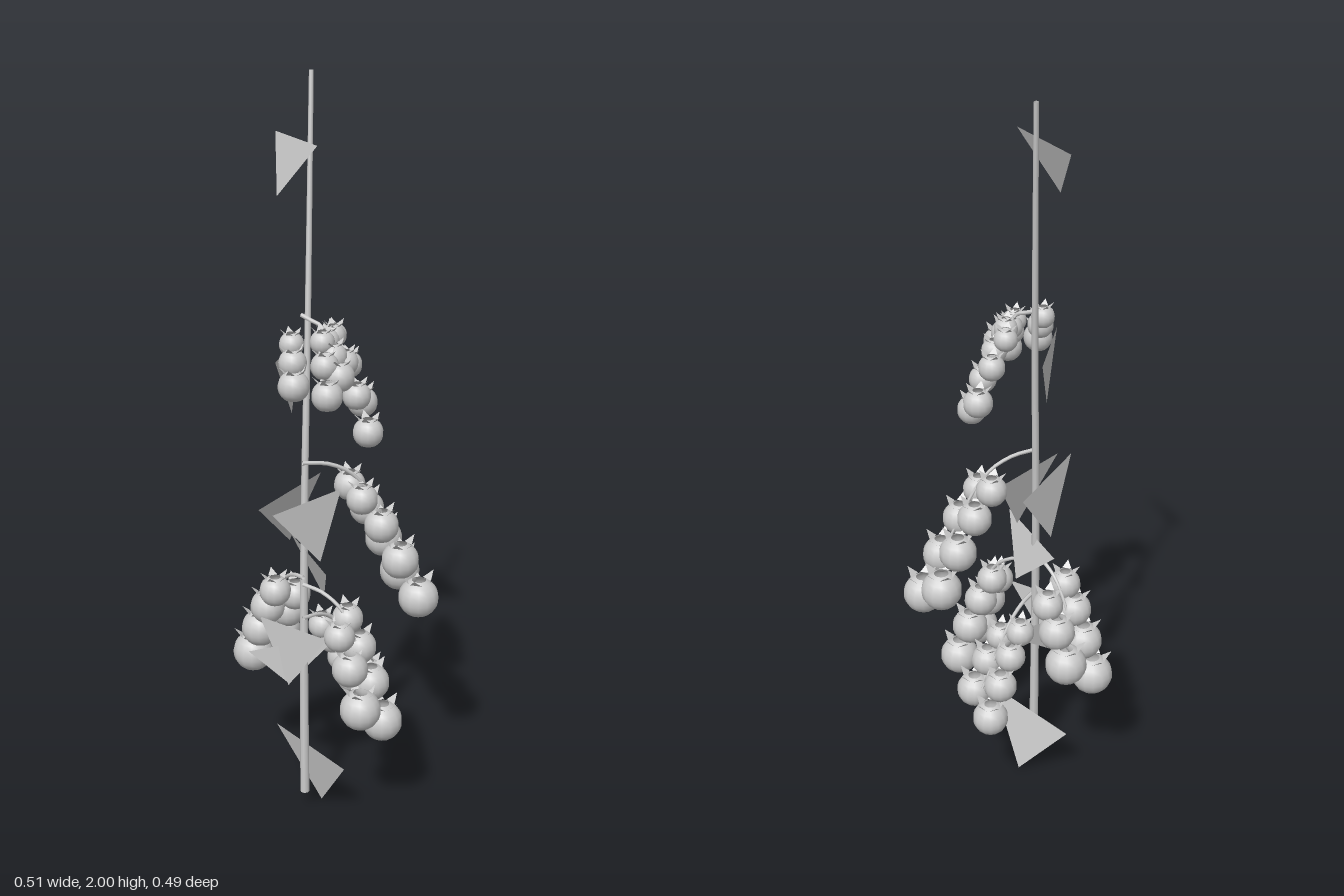
import * as THREE from 'three';

const V = (x, y, z) => new THREE.Vector3(x, y, z);
const grey = new THREE.MeshStandardMaterial({ color: 0xcccccc });
const thin = new THREE.MeshStandardMaterial({ color: 0xcccccc, side: THREE.DoubleSide });

function addMesh(parent, name, geometry, material = thin) {
  const mesh = new THREE.Mesh(geometry, material);
  mesh.name = name;
  parent.add(mesh);
  return mesh;
}

function triangles(points) {
  const geometry = new THREE.BufferGeometry().setFromPoints(points);
  geometry.computeVertexNormals();
  return geometry;
}

// Tube whose radius shrinks linearly from r0 to r1
function taperedTube(points, r0, r1, steps, sides) {
  const curve = new THREE.CatmullRomCurve3(points);
  const geometry = new THREE.TubeGeometry(curve, steps, 1, sides);
  const pos = geometry.attributes.position;
  for (let i = 0; i <= steps; i++) {
    const c = curve.getPointAt(i / steps);
    const r = r0 + (r1 - r0) * i / steps;
    for (let j = 0; j <= sides; j++) {
      const k = i * (sides + 1) + j;
      const p = V().fromBufferAttribute(pos, k).sub(c).multiplyScalar(r).add(c);
      pos.setXYZ(k, p.x, p.y, p.z);
    }
  }
  return geometry;
}

// Fruit body at unit radius: a sphere with a hole at the top and a flat, holed underside
const profile = [new THREE.Vector2(0.3, -0.84)];
for (let i = 8; i >= 0; i--) {
  const a = 0.36 + i * 0.27;
  profile.push(new THREE.Vector2(Math.sin(a), Math.cos(a)));
}
const bodyGeometry = new THREE.LatheGeometry(profile, 14);

// Crown of five upright sepals
const sepals = [];
for (let i = 0; i < 5; i++) {
  const a = Math.PI + i * Math.PI * 2 / 5;
  for (const p of [V(0.3, 0.84, 0.52), V(-0.3, 0.84, 0.52), V(0, 1.24, 0.93)]) {
    sepals.push(p.applyAxisAngle(V(0, 1, 0), a));
  }
}
const crownGeometry = triangles(sepals);

function addFruit(truss, centre, radius) {
  const fruit = new THREE.Group();
  fruit.name = 'fruit';
  addMesh(fruit, 'fruitBody', bodyGeometry);
  addMesh(fruit, 'sepals', crownGeometry);
  fruit.position.copy(centre);
  fruit.scale.setScalar(radius);
  truss.add(fruit);
}

// A row of fruit that sags and swells from its first to its last fruit
function addRow(truss, first, last, count, r0, r1) {
  for (let i = 0; i < count; i++) {
    const t = i / (count - 1);
    const centre = first.clone().lerp(last, t);
    centre.y = THREE.MathUtils.lerp(first.y, last.y, t ** 1.2);
    addFruit(truss, centre, THREE.MathUtils.lerp(r0, r1, t));
  }
}

// Rows of fruit hung on one arching stalk that runs down between them
function addTruss(model, name, startY, r0, r1, rows) {
  const truss = new THREE.Group();
  truss.name = name;
  const top = V(0, r0, 0);
  const end = V(0, r1, 0);
  for (const [first, last, count] of rows) {
    addRow(truss, first, last, count, r0, r1);
    top.addScaledVector(first, 1 / rows.length);
    end.addScaledVector(last, 1 / rows.length);
  }
  const start = V(0.005, startY, 0.087);
  const arch = start.clone().lerp(top, 0.5).setY(startY - 0.01);
  addMesh(truss, 'trussStalk', taperedTube([start, arch, top, end], 0.006, 0.003, 20, 6));
  model.add(truss);
}

// A leaf: level upper edge between two corners, drooping to a tip
function addLeaf(model, y, [xa, za], [xb, zb], tip) {
  addMesh(model, 'leaf', triangles([V(xa, y, za), V(xb, y, zb), tip]));
}

export function createModel() {
  const model = new THREE.Group();
  model.name = 'fruitingPlant';

  // Leaning main stem with a flat base
  const stemPoints = [V(0.005, 0.055, 0.087), V(-0.008, 0.6, 0.077), V(-0.03, 1, 0.055),
    V(-0.055, 1.34, 0.027), V(-0.13, 2, -0.042)];
  addMesh(model, 'stem', taperedTube(stemPoints, 0.013, 0.006, 24, 8));
  const base = addMesh(model, 'stemBase', new THREE.CircleGeometry(0.013, 8), grey);
  base.rotation.x = Math.PI / 2;
  base.position.copy(stemPoints[0]);

  // Leaves from top to bottom
  addLeaf(model, 1.863, [-0.13, 0.066], [0.137, 0.132], V(-0.01, 1.73, 0.145));
  addLeaf(model, 1.345, [-0.108, 0.005], [0.055, 0.2], V(-0.012, 1.18, 0.107));
  addLeaf(model, 0.965, [-0.08, -0.032], [0.038, 0.245], V(-0.06, 0.805, 0.085));
  addLeaf(model, 0.957, [0.03, -0.018], [0.073, 0.227], V(0.073, 0.79, 0.08));
  addLeaf(model, 0.79, [-0.13, 0.035], [0.147, 0.115], V(0.02, 0.655, 0.03));
  addLeaf(model, 0.58, [-0.105, 0.155], [0.11, 0.088], V(-0.013, 0.4, 0.126));
  addLeaf(model, 0.51, [-0.066, 0.218], [0, -0.04], V(-0.02, 0.4, 0.12));
  addLeaf(model, 0.193, [-0.15, 0.075], [0.153, 0.06], V(0, 0, 0.025));

  // Fruit trusses from top to bottom
  addTruss(model, 'topTruss', 1.435, 0.031, 0.039, [
    [V(0.06, 1.385, 0.155), V(0.118, 1.3, 0.19), 3],
    [V(0.09, 1.385, 0.085), V(0.165, 1.275, 0.125), 3],
    [V(0.07, 1.38, 0.055), V(0.145, 1.31, 0.075), 3],
    [V(0.025, 1.375, 0), V(0.07, 1.2, -0.055), 3],
    [V(0.06, 1.385, 0.03), V(0.14, 1.145, -0.02), 4]]);
  addTruss(model, 'backTruss', 1.045, 0.042, 0.055, [
    [V(0.085, 0.94, -0.045), V(0.15, 0.64, -0.19), 4],
    [V(0.025, 0.96, -0.05), V(0.068, 0.69, -0.19), 4]]);
  addTruss(model, 'rightTruss', 0.72, 0.043, 0.057, [
    [V(-0.085, 0.655, 0.117), V(-0.203, 0.42, 0.115), 4],
    [V(-0.095, 0.62, 0.045), V(-0.18, 0.475, 0.038), 3]]);
  addTruss(model, 'leftTruss', 0.7, 0.042, 0.055, [
    [V(0.105, 0.62, 0.015), V(0.195, 0.335, -0.035), 4],
    [V(0.13, 0.59, 0.06), V(0.203, 0.4, 0.045), 3]]);
  addTruss(model, 'lowTruss', 0.6, 0.039, 0.049, [
    [V(-0.045, 0.53, -0.01), V(-0.068, 0.315, -0.137), 4],
    [V(0.005, 0.505, -0.04), V(0.015, 0.36, -0.125), 3]]);
  return model;
}
